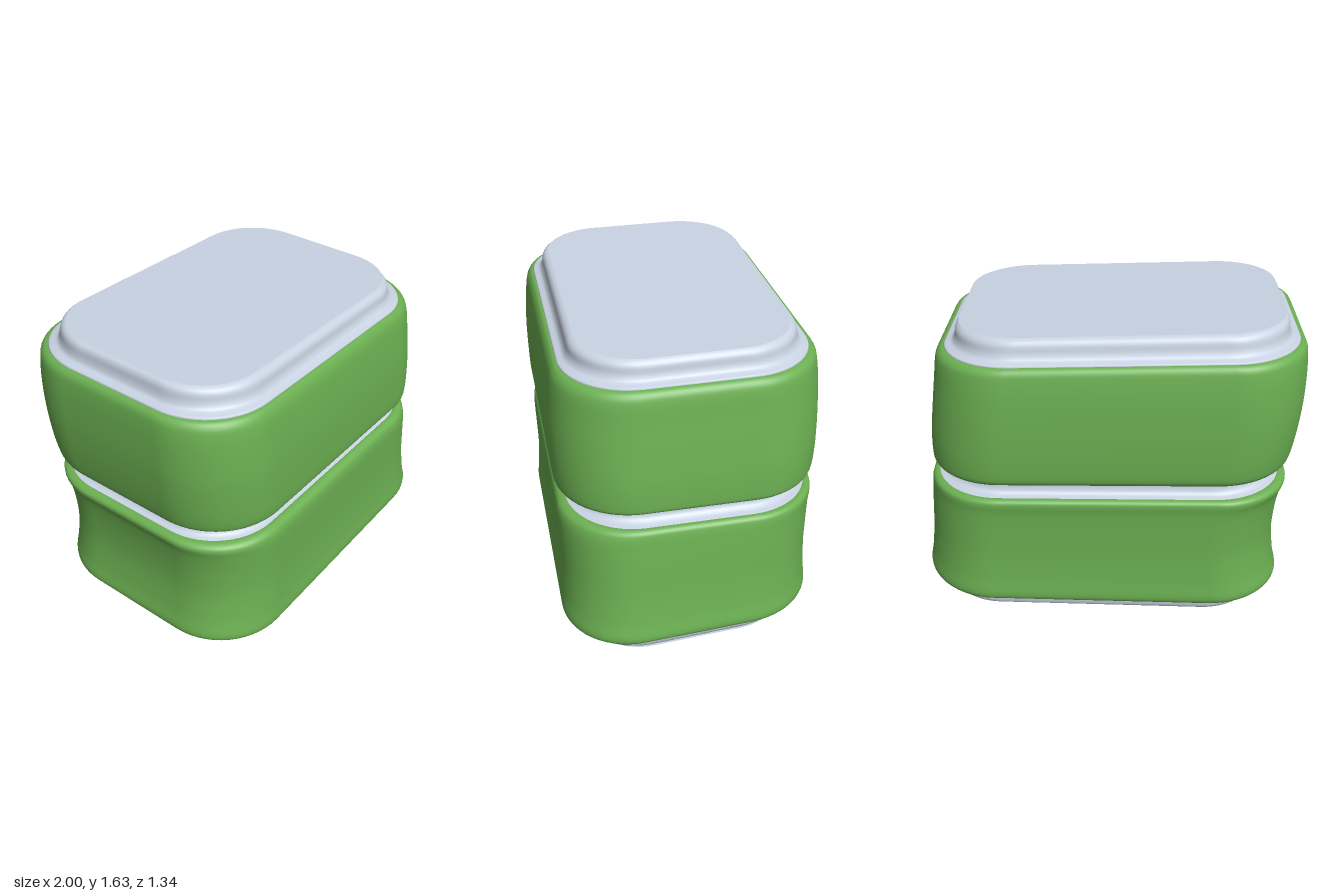
import * as THREE from 'three';

const CORNER = 14; // segments per rounded corner

// Rounded-rectangle ring, gently tilted; row = [y, left x, right x, back z, front z]
function ring([y, xl, xr, zb, zf]) {
  const cx = (xl + xr) / 2, cz = (zb + zf) / 2;
  const hx = (xr - xl) / 2, hz = (zf - zb) / 2;
  const r = Math.min(hx, hz * 0.57);
  const tiltX = 0.012 - 0.027 * y;
  const tiltZ = -0.012 * Math.abs(y / 0.8 - 1);
  const skew = 0.06 * Math.max(0, 1 - y / 0.8); // right end is slanted towards the bottom
  const pts = [];
  for (let q = 0; q < 4; q++) {
    const sx = q === 0 || q === 3 ? 1 : -1, sz = q < 2 ? 1 : -1;
    for (let i = 0; i <= CORNER; i++) {
      const a = (q + i / CORNER) * Math.PI / 2;
      let x = cx + sx * (hx - r) + r * Math.cos(a);
      const z = cz + sz * (hz - r) + r * Math.sin(a);
      if (x > 0) x += skew * (z - 0.3) * x;
      pts.push(x, y + tiltX * x + tiltZ * z, z);
    }
  }
  return pts;
}

// Catmull-Rom smoothing between profile rows
function smoothRows(rows, steps) {
  const out = [];
  const at = i => rows[Math.max(0, Math.min(rows.length - 1, i))];
  for (let i = 0; i < rows.length - 1; i++) {
    for (let s = 0; s < steps; s++) {
      const t = s / steps;
      out.push(rows[i].map((b, k) => {
        const a = at(i - 1)[k], c = at(i + 1)[k], d = at(i + 2)[k];
        const m0 = (c - a) / 2, m1 = (d - b) / 2;
        return b + m0 * t + (3 * (c - b) - 2 * m0 - m1) * t * t + (2 * (b - c) + m0 + m1) * t * t * t;
      }));
    }
  }
  out.push(rows[rows.length - 1]);
  return out;
}

function loft(name, rows, color, steps) {
  const rings = smoothRows(rows, steps).map(ring);
  const n = 4 * (CORNER + 1), index = [];
  for (let j = 0; j < rings.length - 1; j++) {
    for (let i = 0; i < n; i++) {
      const a = j * n + i, b = j * n + (i + 1) % n;
      index.push(a, a + n, b, b, a + n, b + n);
    }
  }
  const geo = new THREE.BufferGeometry();
  geo.setAttribute('position', new THREE.Float32BufferAttribute(rings.flat(), 3));
  geo.setIndex(index);
  geo.computeVertexNormals();
  const mesh = new THREE.Mesh(geo, new THREE.MeshStandardMaterial({ color, side: THREE.DoubleSide }));
  mesh.name = name;
  return mesh;
}

export function createModel() {
  const group = new THREE.Group();
  const pale = 0xc9d3e2, green = 0x6cb052;

  // Base plinth, closed underneath
  group.add(loft('basePlinth', [
    [0.01, 0.03, 0.03, 0, 0],
    [0.01, -0.77, 0.84, -0.49, 0.50],
    [0.01, -0.79, 0.87, -0.51, 0.52],
    [0.025, -0.84, 0.91, -0.55, 0.57],
    [0.055, -0.86, 0.925, -0.56, 0.59],
    [0.09, -0.86, 0.925, -0.565, 0.59],
    [0.108, -0.875, 0.94, -0.59, 0.60],
    [0.12, -0.91, 0.97, -0.62, 0.64],
    [0.15, -0.90, 0.95, -0.60, 0.62],
  ], pale, 3));

  // Lower wrap, waisted on the left and flaring to the right
  group.add(loft('lowerBand', [
    [0.13, -0.86, 0.93, -0.58, 0.60],
    [0.115, -0.90, 0.96, -0.62, 0.64],
    [0.125, -0.93, 0.99, -0.635, 0.66],
    [0.16, -0.945, 1.0, -0.642, 0.67],
    [0.25, -0.925, 0.98, -0.635, 0.662],
    [0.40, -0.907, 0.957, -0.63, 0.655],
    [0.55, -0.912, 0.94, -0.635, 0.657],
    [0.67, -0.93, 0.925, -0.642, 0.66],
    [0.725, -0.948, 0.916, -0.65, 0.655],
    [0.75, -0.94, 0.905, -0.645, 0.64],
    [0.76, -0.91, 0.88, -0.62, 0.61],
    [0.745, -0.86, 0.83, -0.57, 0.56],
  ], green, 4));

  // Grooved neck between the two bands
  group.add(loft('neck', [
    [0.72, -0.92, 0.89, -0.62, 0.62],
    [0.755, -0.915, 0.885, -0.625, 0.615],
    [0.765, -0.89, 0.85, -0.59, 0.585],
    [0.785, -0.873, 0.825, -0.575, 0.575],
    [0.82, -0.865, 0.82, -0.57, 0.575],
    [0.84, -0.875, 0.835, -0.58, 0.59],
    [0.853, -0.91, 0.865, -0.62, 0.62],
    [0.88, -0.91, 0.865, -0.62, 0.62],
  ], pale, 3));

  // Upper wrap, bulging to the left and tapering on the right
  group.add(loft('upperBand', [
    [0.865, -0.86, 0.82, -0.57, 0.57],
    [0.85, -0.91, 0.865, -0.625, 0.625],
    [0.86, -0.945, 0.893, -0.645, 0.65],
    [0.90, -0.963, 0.898, -0.658, 0.663],
    [1.02, -0.983, 0.893, -0.667, 0.667],
    [1.17, -0.997, 0.875, -0.67, 0.667],
    [1.32, -1.0, 0.855, -0.665, 0.657],
    [1.42, -0.995, 0.842, -0.655, 0.645],
    [1.463, -0.985, 0.828, -0.645, 0.63],
    [1.482, -0.96, 0.80, -0.62, 0.607],
    [1.475, -0.91, 0.75, -0.57, 0.56],
  ], green, 4));

  // Stepped top cap
  group.add(loft('topCap', [
    [1.44, -0.94, 0.78, -0.60, 0.59],
    [1.483, -0.957, 0.797, -0.617, 0.604],
    [1.493, -0.935, 0.775, -0.60, 0.588],
    [1.503, -0.915, 0.755, -0.58, 0.568],
    [1.53, -0.905, 0.743, -0.567, 0.555],
    [1.565, -0.90, 0.738, -0.56, 0.55],
    [1.587, -0.885, 0.72, -0.545, 0.535],
    [1.597, -0.85, 0.69, -0.515, 0.505],
    [1.598, -0.82, 0.66, -0.485, 0.475],
    [1.598, -0.08, -0.08, 0, 0],
  ], pale, 3));

  return group;
}
